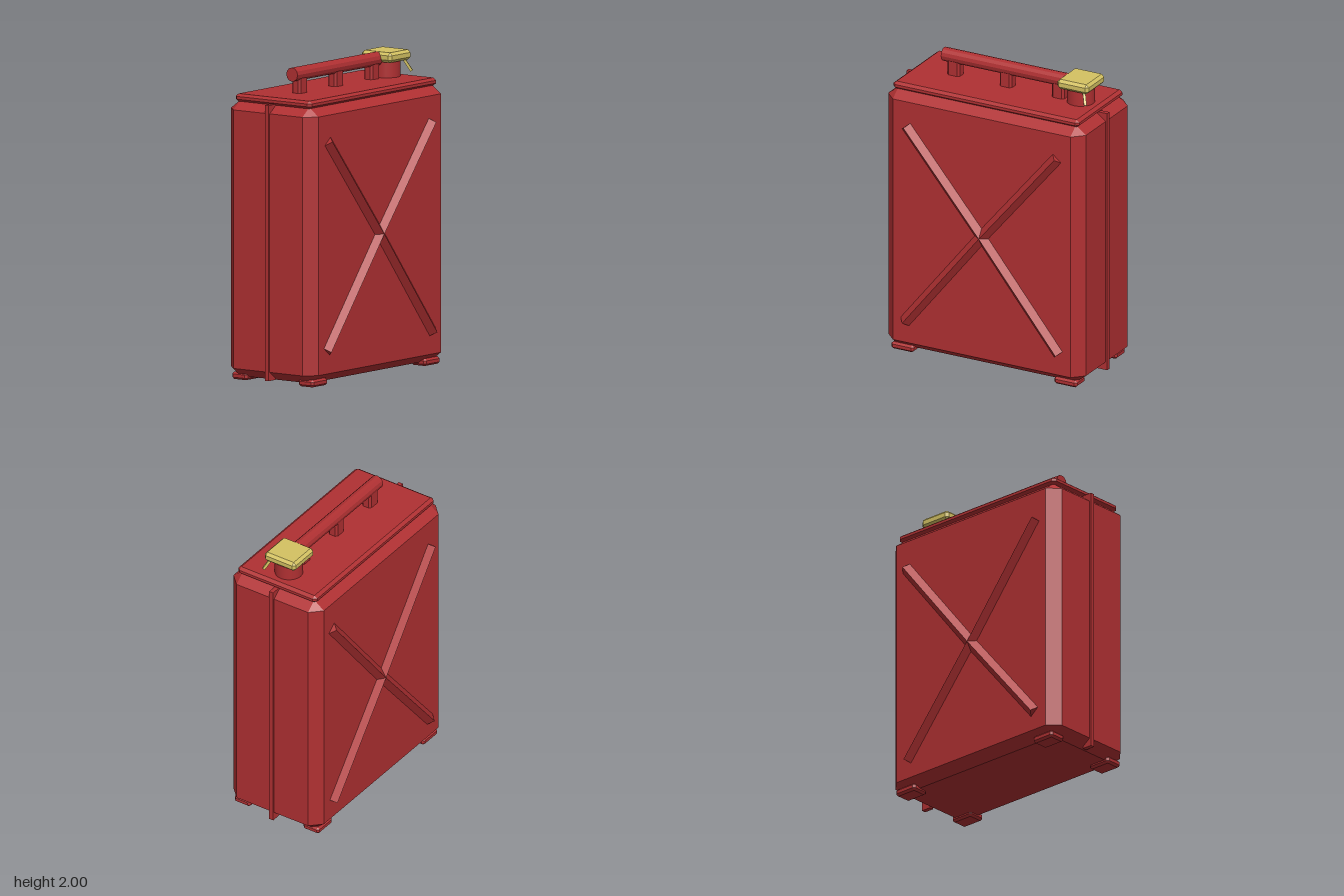
import * as THREE from 'three';
import { ConvexGeometry } from 'three/addons/geometries/ConvexGeometry.js';

// Box with bevelled edges; c gives the bevel along each axis
function bevelBox(w, h, d, cx, cy = cx, cz = cx) {
  const [x, y, z] = [w / 2, h / 2, d / 2];
  const pts = [];
  for (const sx of [-1, 1]) for (const sy of [-1, 1]) for (const sz of [-1, 1]) {
    pts.push(
      new THREE.Vector3(sx * x, sy * (y - cy), sz * (z - cz)),
      new THREE.Vector3(sx * (x - cx), sy * y, sz * (z - cz)),
      new THREE.Vector3(sx * (x - cx), sy * (y - cy), sz * z));
  }
  return new ConvexGeometry(pts);
}

export function createModel() {
  const red = new THREE.MeshStandardMaterial({ color: 0xb03032 });
  red.name = 'red paint';
  const yellow = new THREE.MeshStandardMaterial({ color: 0xd4c262 });
  yellow.name = 'yellow cap';

  const model = new THREE.Group();
  model.name = 'fuelCan';
  const add = (name, geo, mat, x, y, z, parent = model) => {
    const mesh = new THREE.Mesh(geo, mat);
    mesh.name = name;
    mesh.position.set(x, y, z);
    parent.add(mesh);
    return mesh;
  };

  // Bar with a given number of flat sides between two points
  const bar = (name, a, b, r, sides, mat, parent = model) => {
    const dir = b.clone().sub(a);
    const geo = new THREE.CylinderGeometry(r, r, dir.length(), sides).toNonIndexed();
    geo.computeVertexNormals();
    const mid = a.clone().add(b).multiplyScalar(0.5);
    const mesh = add(name, geo, mat, mid.x, mid.y, mid.z, parent);
    mesh.quaternion.setFromUnitVectors(new THREE.Vector3(0, 1, 0), dir.normalize());
    return mesh;
  };

  // Body and top lip
  add('body', bevelBox(1.43, 1.765, 0.694, 0.073, 0.055, 0.073), red, 0, 0.9075, 0);
  add('topLip', bevelBox(1.345, 0.05, 0.605, 0.022, 0.016, 0.022), red, 0, 1.807, 0);

  // Weld seams and feet
  for (const s of [-1, 1]) {
    add('sideSeam', new THREE.BoxGeometry(0.07, 1.765, 0.03), red, s * 0.691, 0.9075, 0);
    for (const t of [-1, 1]) {
      add('foot', bevelBox(0.165, 0.047, 0.122, 0.015, 0.013, 0.015), red, s * 0.59, 0.0265, t * 0.264);
    }
  }

  // Crossed ribs, the back set turned upside down
  for (const side of ['front', 'back']) {
    const cross = new THREE.Group();
    cross.name = side + 'Cross';
    cross.position.y = 0.885;
    if (side === 'back') cross.rotation.x = Math.PI;
    model.add(cross);
    const centre = new THREE.Vector3(0, 0.03, 0.347);
    for (const [x, y] of [[0.545, 0.683], [-0.545, 0.683], [0.555, -0.663], [-0.555, -0.663]]) {
      bar('rib', centre, new THREE.Vector3(x, y, 0.347), 0.038, 4, red, cross);
    }
  }

  // Carrying handle on three posts
  bar('handle', new THREE.Vector3(-0.462, 1.955, 0), new THREE.Vector3(0.43, 1.955, 0), 0.045, 12, red);
  for (const x of [-0.38, -0.003, 0.375]) {
    add('handlePost', bevelBox(0.09, 0.14, 0.07, 0.014), red, x, 1.88, 0);
  }

  // Spout neck, cap and latch
  add('neck', new THREE.CylinderGeometry(0.09, 0.09, 0.13, 20), red, 0.527, 1.885, 0);
  add('cap', bevelBox(0.226, 0.065, 0.238, 0.018), yellow, 0.527, 1.9675, 0);
  bar('latch', new THREE.Vector3(0.595, 1.945, 0.085), new THREE.Vector3(0.628, 1.865, 0.125), 0.012, 4, yellow);

  return model;
}
